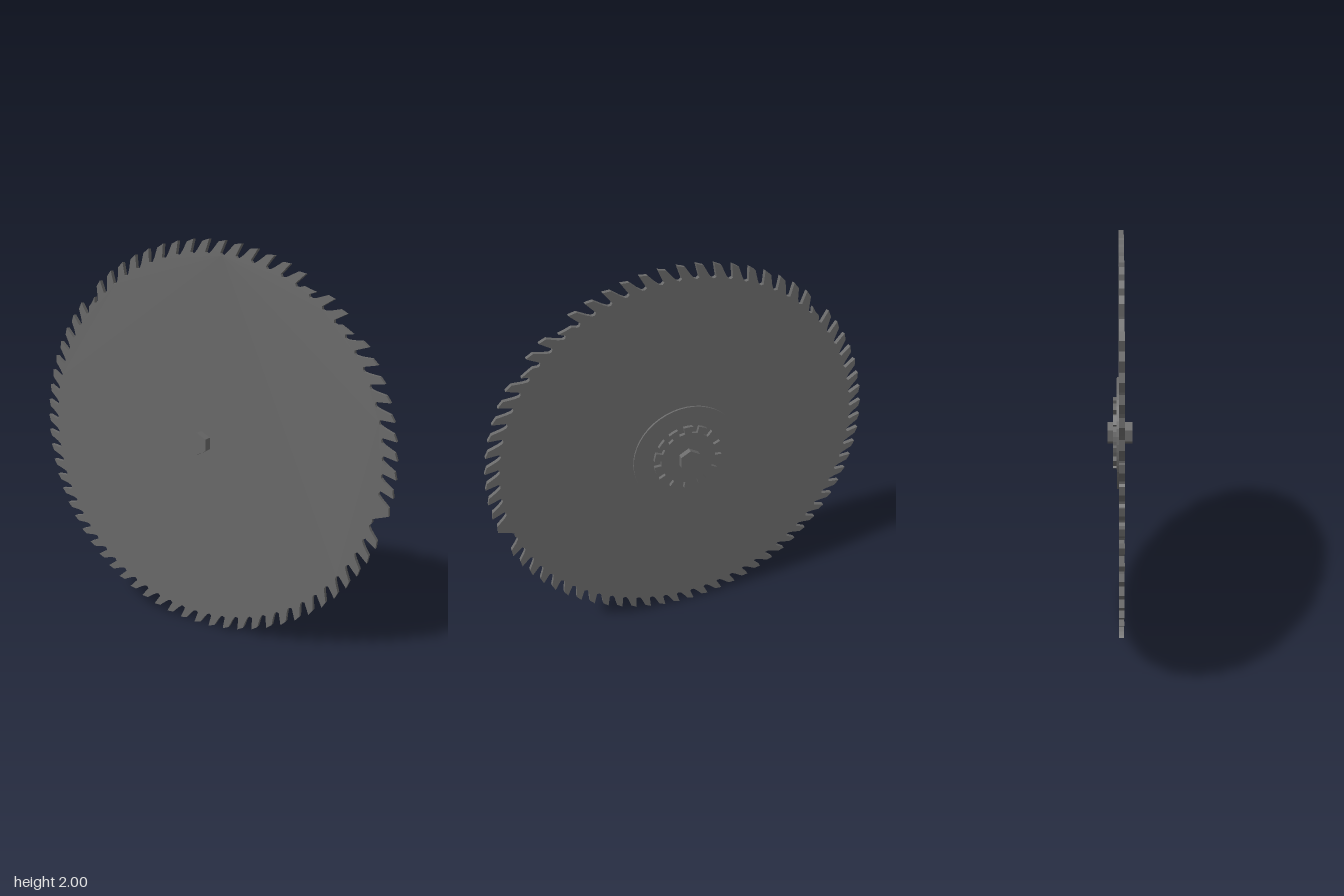
import * as THREE from 'three';

const DEG = Math.PI / 180;
const polar = (r, deg) => new THREE.Vector2(r * Math.cos(deg * DEG), r * Math.sin(deg * DEG));

// Flat plate cut from an outline, spanning z0 to z1
function plate(name, points, z0, z1, y, material) {
  const geometry = new THREE.ExtrudeGeometry(new THREE.Shape(points), {
    depth: z1 - z0, bevelEnabled: false,
  });
  const mesh = new THREE.Mesh(geometry, material);
  mesh.name = name;
  mesh.position.set(0, y, z0);
  return mesh;
}

// Hooked teeth leaning clockwise, with one missing and a few worn short
function bladeOutline() {
  const count = 72, pitch = 360 / count;
  const missing = [68], worn = { 7: 0.968, 10: 0.965, 26: 0.96 };
  const points = [];
  for (let i = 0; i < count; i++) {
    const a = 2.5 + i * pitch;
    if (missing.includes(i)) {
      points.push(polar(0.932, a + 2.5));
      continue;
    }
    const tip = worn[i] ?? 1;
    points.push(
      polar(tip, a),
      polar(tip - 0.01, a + 2.1),
      polar(0.95, a + 3.8),
      polar(0.933, a + 4.8),
      polar(0.93, a + 5.5),
      polar(0.938, a + 6.2),
    );
  }
  return points;
}

// Washer with square-cut slots around its edge
function gearOutline(count, outer, root) {
  const pitch = 360 / count, points = [];
  for (let i = 0; i < count; i++) {
    const a = 90 + i * pitch;
    points.push(
      polar(outer, a - pitch * 0.3),
      polar(outer, a),
      polar(outer, a + pitch * 0.3),
      polar(root, a + pitch * 0.27),
      polar(root, a + pitch * 0.73),
    );
  }
  return points;
}

const ring = (sides, r, start = 0) =>
  Array.from({ length: sides }, (_, i) => polar(r, start + (i * 360) / sides));

export function createModel() {
  const steel = new THREE.MeshStandardMaterial({ color: 0x696969 });
  steel.name = 'dark steel';

  const group = new THREE.Group();
  group.name = 'sawBlade';
  const hubY = 1.006;
  group.add(
    plate('toothedBlade', bladeOutline(), -0.006, 0.017, 1, steel),
    plate('backFlange', ring(48, 0.283), -0.016, -0.006, hubY, steel),
    plate('slottedWasher', gearOutline(14, 0.181, 0.145), -0.034, -0.016, hubY, steel),
    plate('hexShaft', ring(6, 0.058, 90), -0.063, 0.063, hubY, steel),
  );
  return group;
}
